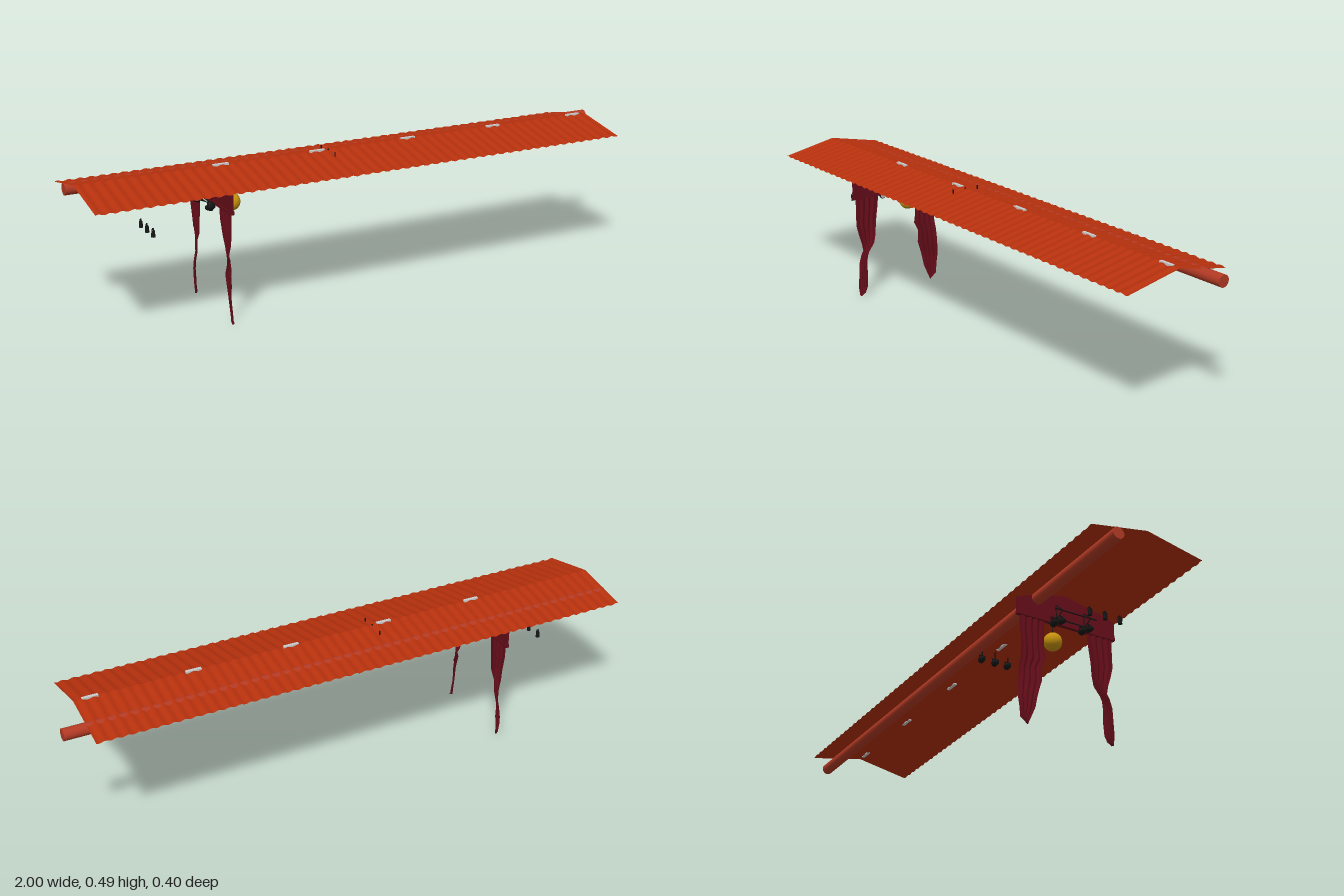
import * as THREE from 'three';

const mat = (color, double) => new THREE.MeshStandardMaterial({
  color, side: double ? THREE.DoubleSide : THREE.FrontSide });
const RED = mat(0xb5300d, true), PIPE = mat(0xb23a24), CLOTH = mat(0x640d19, true);
const GOLD = mat(0xc8930f), BLACK = mat(0x151515), GREY = mat(0xcccccc);

function add(parent, name, geometry, material, x = 0, y = 0, z = 0) {
  const m = new THREE.Mesh(geometry, material);
  m.name = name;
  m.position.set(x, y, z);
  parent.add(m);
  return m;
}

// Thin round bar between two points
function bar(parent, name, a, b, r, material) {
  const path = new THREE.LineCurve3(new THREE.Vector3(...a), new THREE.Vector3(...b));
  return add(parent, name, new THREE.TubeGeometry(path, 1, r, 8), material);
}

// Grid surface from a function (u, v) -> [x, y, z]
function sheet(nu, nv, f) {
  const pos = [], idx = [];
  for (let j = 0; j <= nv; j++)
    for (let i = 0; i <= nu; i++) pos.push(...f(i / nu, j / nv));
  for (let j = 0; j < nv; j++)
    for (let i = 0; i < nu; i++) {
      const a = j * (nu + 1) + i, c = a + nu + 1;
      idx.push(a, c, a + 1, a + 1, c, c + 1);
    }
  const g = new THREE.BufferGeometry();
  g.setAttribute('position', new THREE.Float32BufferAttribute(pos, 3));
  g.setIndex(idx);
  g.computeVertexNormals();
  return g;
}

// Curtain leg: rows of [y, z of outer edge, z of inner edge, x of outer edge, x of inner edge]
function curtainLeg(rows) {
  return sheet(24, rows.length - 1, (u, v) => {
    const r = rows[Math.round(v * (rows.length - 1))];
    const fold = 0.005 * Math.sin(u * Math.PI * 8) * Math.sin(u * Math.PI);
    return [-0.555 + r[3] + (r[4] - r[3]) * u + fold, r[0], r[1] + (r[2] - r[1]) * u];
  });
}

// Stage lamp with its lens facing +x, held in a yoke
function lamp(name, lens) {
  const g = new THREE.Group();
  g.name = name;
  const body = new THREE.LatheGeometry([[0, -0.012], [0.006, -0.011], [0.009, -0.004],
    [0.011, 0.004], [0.011, 0.011], [0.0095, 0.011], [0.0095, 0.009], [0, 0.009]]
    .map(p => new THREE.Vector2(...p)), 20);
  add(g, 'lampBody', body, BLACK).rotation.z = -Math.PI / 2;
  if (lens) add(g, 'lens', new THREE.CylinderGeometry(0.009, 0.009, 0.001, 20), GREY, 0.0105)
    .rotation.z = -Math.PI / 2;
  for (const s of [-1, 1]) add(g, 'yokeArm', new THREE.BoxGeometry(0.004, 0.014, 0.0015), BLACK, 0, 0.005, s * 0.0115);
  add(g, 'yokeTop', new THREE.BoxGeometry(0.004, 0.002, 0.0245), BLACK, 0, 0.012);
  return g;
}

export function createModel() {
  const model = new THREE.Group();
  model.name = 'corrugatedStageRoof';

  // Corrugated gable roof
  const waves = 52;
  for (const s of [-1, 1]) {
    add(model, s > 0 ? 'frontRoofSlope' : 'backRoofSlope', sheet(waves * 8, 1, (u, v) => [
      -1 + 1.925 * u,
      0.483 - 0.04 * v + 0.0022 * Math.sin(u * waves * Math.PI * 2),
      s * 0.2 * v]), RED);
  }

  // Small light strips along the ridge
  for (let i = 0; i < 5; i++)
    add(model, 'ridgeLight', new THREE.BoxGeometry(0.054, 0.008, 0.011), GREY, -0.513 + i * 0.346, 0.483, 0);

  // Long duct under the back slope
  add(model, 'duct', new THREE.CylinderGeometry(0.02, 0.02, 2, 32), PIPE, 0, 0.443, -0.106)
    .rotation.z = Math.PI / 2;

  // Curtain valance following the gable
  const valance = new THREE.Shape([[0.185, 0.373], [0.185, 0.436], [0.135, 0.454], [0.1, 0.459],
    [0.05, 0.472], [0, 0.481], [-0.05, 0.471], [-0.1, 0.459], [-0.13, 0.45], [-0.165, 0.436],
    [-0.18, 0.432], [-0.18, 0.373]].map(([z, y]) => new THREE.Vector2(-z, y)));
  const vg = new THREE.ExtrudeGeometry(valance, { depth: 0.008, bevelEnabled: false });
  vg.rotateY(Math.PI / 2);
  add(model, 'valance', vg, CLOTH, -0.559);
  add(model, 'valanceHem', new THREE.BoxGeometry(0.013, 0.011, 0.366), CLOTH, -0.555, 0.3765, 0.002);

  // Draped curtain legs
  add(model, 'leftCurtain', curtainLeg([
    [0.378, 0.175, 0.078, 0, 0], [0.33, 0.175, 0.083, 0, 0], [0.27, 0.173, 0.094, -0.003, 0.004],
    [0.23, 0.161, 0.1, -0.006, 0.01], [0.2, 0.15, 0.112, -0.008, 0.018], [0.168, 0.141, 0.132, -0.012, 0.014],
    [0.15, 0.149, 0.136, -0.014, 0.01], [0.12, 0.158, 0.139, -0.014, 0.01], [0.07, 0.163, 0.136, -0.01, 0.008],
    [0.03, 0.168, 0.139, -0.006, 0.008], [0.008, 0.167, 0.146, -0.002, 0.004], [0, 0.167, 0.16, 0, 0.002]]), CLOTH);
  add(model, 'rightCurtain', curtainLeg([
    [0.378, -0.17, -0.078, 0, 0], [0.33, -0.17, -0.082, 0, 0], [0.27, -0.163, -0.084, 0.003, -0.003],
    [0.235, -0.164, -0.081, 0.006, -0.006], [0.2, -0.166, -0.1, 0.014, -0.008], [0.155, -0.169, -0.1, 0.017, -0.012],
    [0.12, -0.173, -0.112, 0.012, -0.014], [0.09, -0.175, -0.119, 0.008, -0.012], [0.06, -0.172, -0.123, 0.006, -0.008],
    [0.024, -0.168, -0.137, 0.008, -0.004], [0.01, -0.155, -0.142, 0.004, 0], [0.002, -0.148, -0.145, 0, 0]]), CLOTH);

  // Hanging golden ball
  add(model, 'ball', new THREE.SphereGeometry(0.0305, 32, 20), GOLD, -0.48, 0.355, 0);
  bar(model, 'ballWire', [-0.48, 0.38, 0], [-0.48, 0.484, 0], 0.001, BLACK);

  // Ceiling spotlights on rods
  for (const z of [0.049, 0, -0.052]) {
    const l = lamp('ceilingSpotlight', false);
    l.position.set(-0.125, 0.441, z);
    model.add(l);
    bar(model, 'spotlightRod', [-0.125, 0.452, z], [-0.125, 0.486, z], 0.0025, BLACK);
  }

  // Floodlights on a bracket behind the curtain
  const rig = new THREE.Group();
  rig.name = 'floodlightRig';
  model.add(rig);
  for (const z of [0.049, -0.057]) {
    const l = lamp('floodlight', true);
    l.position.set(-0.578, 0.362, z);
    l.rotation.z = -0.15;
    rig.add(l);
  }
  for (const z of [0.074, -0.03]) {
    const l = lamp('sideLight', false);
    l.position.set(-0.582, 0.374, z);
    l.rotation.y = 0.5;
    rig.add(l);
  }
  for (const z of [0.06, -0.045]) {
    const a = [-0.61, 0.395, z], b = [-0.572, 0.43, z], c = [-0.572, 0.378, z];
    bar(rig, 'strut', a, b, 0.0015, BLACK);
    bar(rig, 'strut', a, c, 0.0015, BLACK);
    bar(rig, 'strut', b, c, 0.0015, BLACK);
  }
  bar(rig, 'crossbar', [-0.605, 0.397, 0.085], [-0.605, 0.397, -0.07], 0.002, BLACK);
  bar(rig, 'crossbar', [-0.575, 0.381, 0.085], [-0.575, 0.381, -0.07], 0.002, BLACK);

  // Small downlights at the rear of the stage
  for (const z of [0.054, 0, -0.056]) {
    const d = new THREE.Group();
    d.name = 'downlight';
    d.position.set(-0.77, 0.306, z);
    model.add(d);
    add(d, 'can', new THREE.CylinderGeometry(0.0055, 0.007, 0.02, 16), BLACK);
    for (const s of [-1, 1]) add(d, 'yokeArm', new THREE.BoxGeometry(0.003, 0.014, 0.001), BLACK, 0, 0.007, s * 0.0075);
    add(d, 'yokeTop', new THREE.BoxGeometry(0.003, 0.0015, 0.016), BLACK, 0, 0.014);
    add(d, 'clamp', new THREE.BoxGeometry(0.004, 0.005, 0.004), BLACK, 0, 0.017);
  }
  return model;
}
